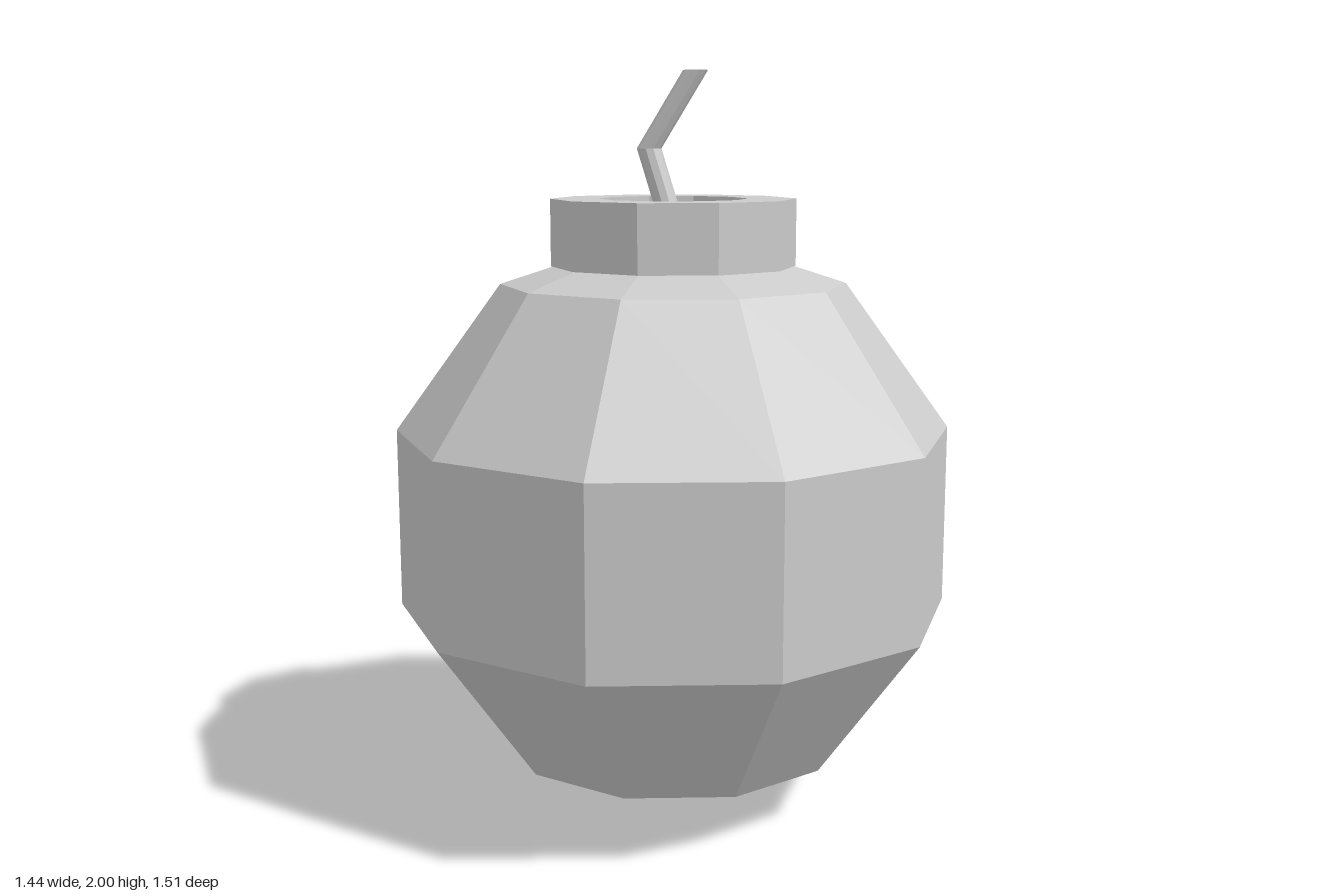
import * as THREE from 'three';

const SIDES = 10;

export function createModel() {
  const group = new THREE.Group();
  const material = new THREE.MeshStandardMaterial({ color: 0xcccccc, flatShading: true });

  const add = (name, geometry) => {
    const mesh = new THREE.Mesh(geometry, material);
    mesh.name = name;
    group.add(mesh);
    return mesh;
  };

  // Round shell: a coarse sphere with a corner facing the front
  const radius = 0.795;
  const shell = new THREE.SphereGeometry(radius, SIDES, 5);
  shell.rotateY(Math.PI / 2);
  shell.translate(0, radius, 0);
  add('body', shell);

  // Hollow collar: closed ring profile (radius, height)
  const ring = [[0.2, 1.485], [0.33, 1.485], [0.33, 1.665], [0.2, 1.665], [0.2, 1.485]];
  add('collar', new THREE.LatheGeometry(ring.map(([r, y]) => new THREE.Vector2(r, y)), SIDES));

  // Bent fuse: level cross-sections shifted along the path, bottom to top
  const path = [[0.004, 1.57], [-0.068, 1.797], [0.06, 2]];
  const fuse = new THREE.CylinderGeometry(0.033, 0.033, 2, SIDES, 2);
  const pos = fuse.attributes.position;
  for (let i = 0; i < pos.count; i++) {
    const [x, y] = path[Math.round(pos.getY(i)) + 1];
    pos.setX(i, pos.getX(i) + x);
    pos.setY(i, y);
  }
  fuse.computeVertexNormals();
  add('fuse', fuse);

  return group;
}
